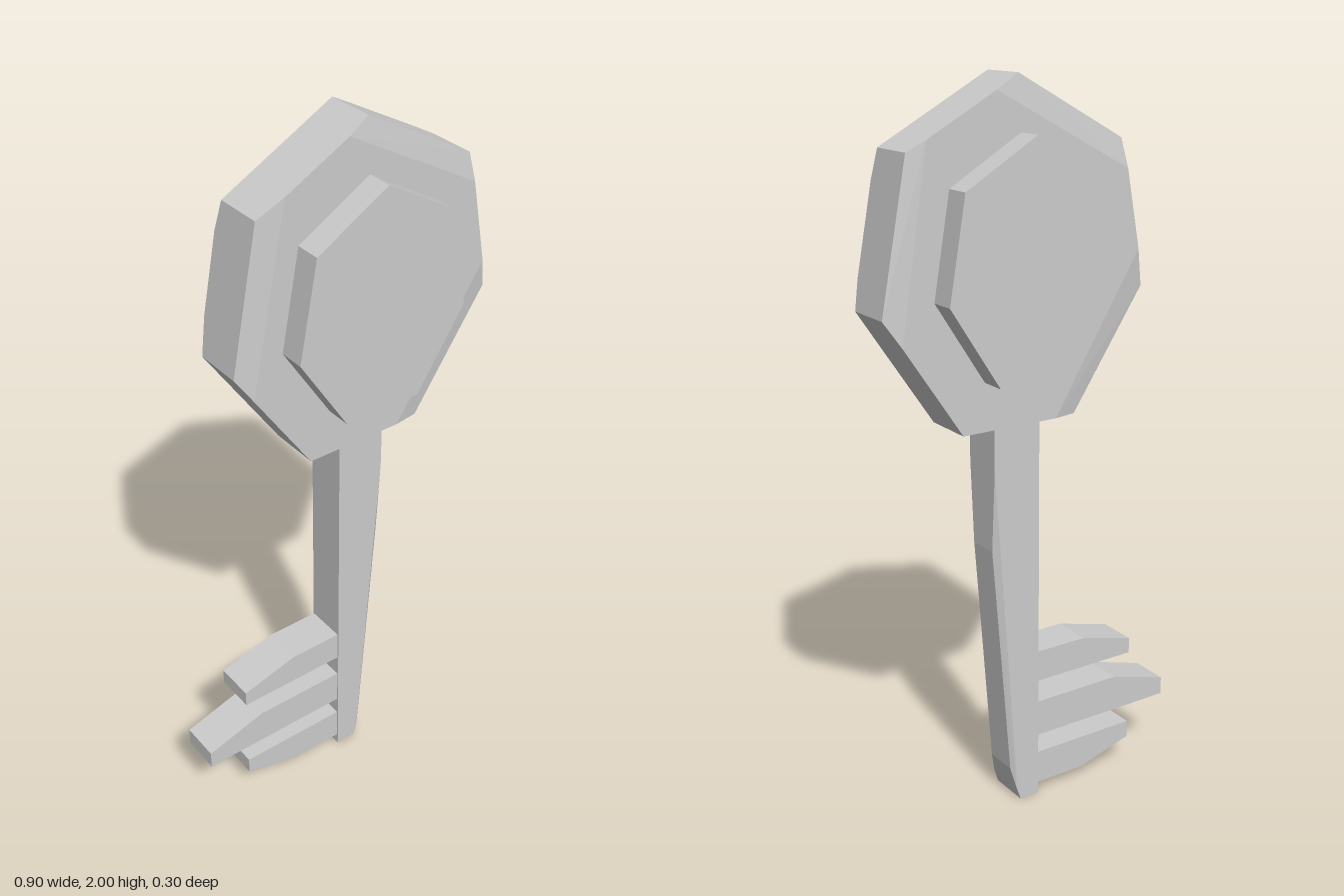
import * as THREE from 'three';
import { ConvexGeometry } from 'three/addons/geometries/ConvexGeometry.js';

const material = new THREE.MeshStandardMaterial({ color: 0xcccccc, flatShading: true });

function add(group, name, geometry) {
  const mesh = new THREE.Mesh(geometry, material);
  mesh.name = name;
  group.add(mesh);
}

// Flat outline extruded between two depths
function slab(points, z0, z1) {
  const shape = new THREE.Shape(points.map(([x, y]) => new THREE.Vector2(x, y)));
  return new THREE.ExtrudeGeometry(shape, { depth: z1 - z0, bevelEnabled: false }).translate(0, 0, z0);
}

// Seven-sided head whose rim is shaved along some edges of each face
function headGeometry() {
  const rim = [[0.06, 2], [0.375, 1.83], [0.45, 1.44], [0.235, 1.12], [-0.115, 1.12], [-0.33, 1.44], [-0.255, 1.83]];
  const n = rim.length;
  const points = [];
  // shaved: [edge start, cut along previous edge, cut along next edge]
  const face = (z, shaved, whole) => {
    const put = (x, y, depth) => points.push(new THREE.Vector3(x, y, Math.sign(z) * depth));
    const towards = (a, b, t) => put(a[0] + (b[0] - a[0]) * t, a[1] + (b[1] - a[1]) * t, Math.abs(z));
    for (const [i, before, after] of shaved) {
      const a = rim[i], b = rim[(i + 1) % n];
      put(a[0], a[1], 0.068);
      put(b[0], b[1], 0.068);
      towards(a, rim[(i + n - 1) % n], before);
      towards(b, rim[(i + 2) % n], after);
    }
    put(rim[whole][0], rim[whole][1], Math.abs(z));
  };
  face(0.078, [[0, 0.19, 0.2], [2, 0.2, 0.2], [5, 0.23, 0.24]], 4);
  face(-0.08, [[6, 0.2, 0.22], [1, 0.16, 0.22], [4, 0.19, 0.26]], 3);
  return new ConvexGeometry(points);
}

// Shaft with a straight toothed side and a tapering, chamfered side
function shaftGeometry() {
  const points = [];
  const pair = (x, y, z) => points.push(new THREE.Vector3(x, y, z), new THREE.Vector3(x, y, -z));
  pair(-0.01, 0, 0.06);
  pair(-0.01, 1.13, 0.06);
  pair(0.13, 1.13, 0.06);
  pair(0.13, 1.0, 0.06);
  pair(0.13, 0.77, 0.045);
  pair(0.077, 0.1, 0.048);
  pair(0.065, 0.1, 0.06);
  pair(0.063, 0.04, 0.058);
  pair(0.05, 0, 0.06);
  return new ConvexGeometry(points);
}

export function createModel() {
  const key = new THREE.Group();
  key.name = 'key';

  add(key, 'head', headGeometry());

  // Raised plate showing on both faces of the head
  add(key, 'headPlate', slab([[0.06, 1.86], [-0.145, 1.74], [-0.195, 1.47], [-0.055, 1.25],
    [0.17, 1.25], [0.312, 1.47], [0.265, 1.74]], -0.153, 0.15));

  add(key, 'shaft', shaftGeometry());

  // Teeth, each with one sloped edge
  const teeth = {
    upperTooth: [[0, 0.445], [-0.165, 0.445], [-0.33, 0.4], [-0.33, 0.355], [0, 0.355]],
    middleTooth: [[0, 0.29], [-0.28, 0.29], [-0.455, 0.237], [-0.455, 0.185], [0, 0.185]],
    lowerTooth: [[0, 0.13], [-0.33, 0.13], [-0.33, 0.08], [-0.165, 0.033], [0, 0.033]],
  };
  for (const [name, outline] of Object.entries(teeth)) add(key, name, slab(outline, -0.058, 0.056));

  return key;
}
